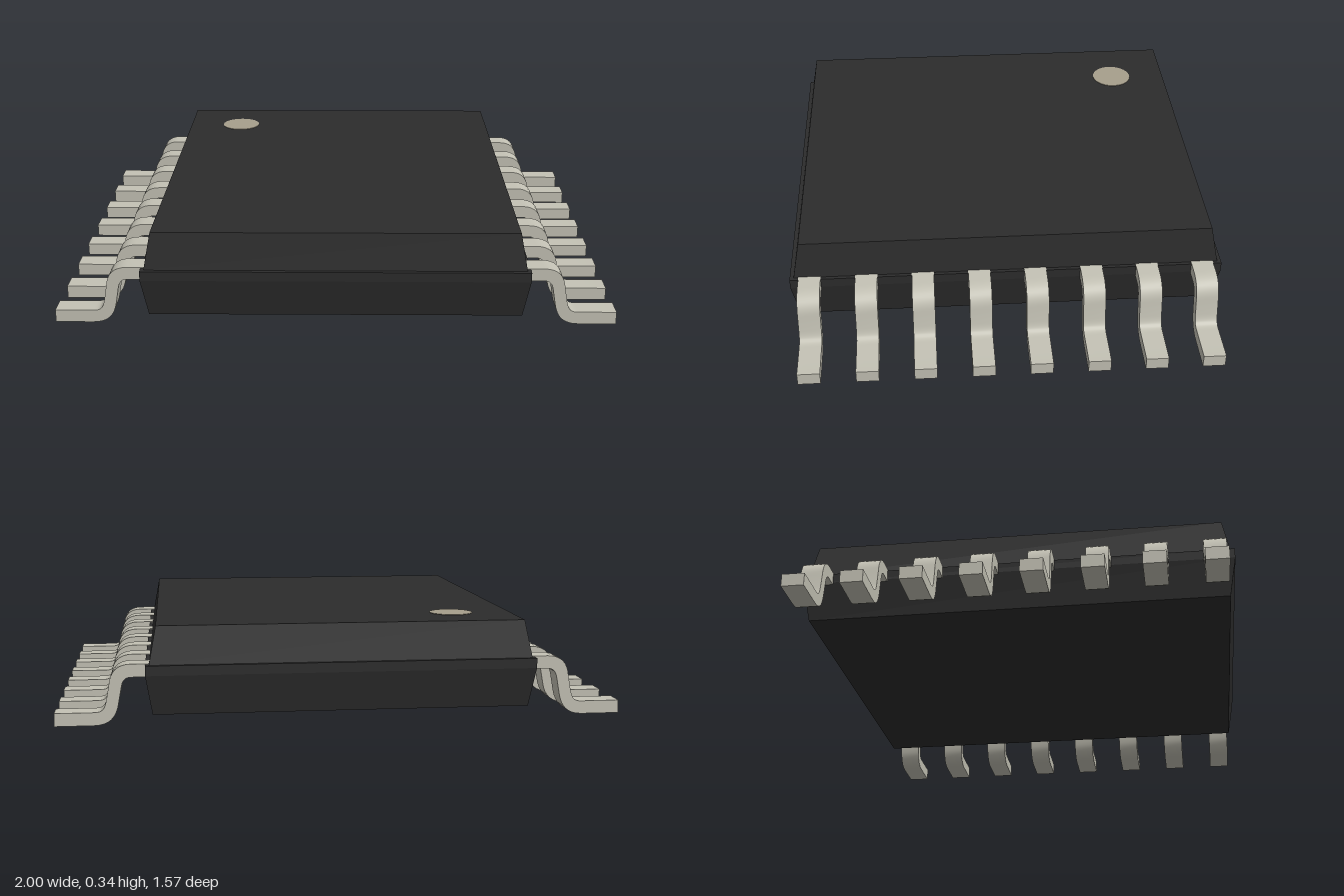
import * as THREE from 'three';
import { toCreasedNormals } from 'three/addons/utils/BufferGeometryUtils.js';

const bodyMat = new THREE.MeshStandardMaterial({ color: 0x2c2c2c });
const leadMat = new THREE.MeshStandardMaterial({ color: 0xc4c2b5 });
const dotMat = new THREE.MeshStandardMaterial({ color: 0xa79f8c });

// Box whose top and bottom have different half sizes [x, z]
function taperedBox(name, y0, y1, bottom, top) {
  const geo = new THREE.BoxGeometry(2, y1 - y0, 2).toNonIndexed();
  geo.translate(0, (y0 + y1) / 2, 0);
  const p = geo.attributes.position;
  const mid = (y0 + y1) / 2;
  for (let i = 0; i < p.count; i++) {
    const [hx, hz] = p.getY(i) > mid ? top : bottom;
    p.setX(i, p.getX(i) * hx);
    p.setZ(i, p.getZ(i) * hz);
  }
  geo.computeVertexNormals();
  const mesh = new THREE.Mesh(geo, bodyMat);
  mesh.name = name;
  return mesh;
}

// Gull-wing strip profile, extruded to the lead's width
function leadGeometry(width) {
  const s = new THREE.Shape();
  s.moveTo(0.66, 0.213);
  s.lineTo(0.735, 0.213);
  s.bezierCurveTo(0.785, 0.213, 0.808, 0.185, 0.812, 0.14);
  s.lineTo(0.822, 0.085);
  s.bezierCurveTo(0.828, 0.058, 0.835, 0.046, 0.862, 0.046);
  s.lineTo(1, 0.046);
  s.lineTo(1, 0);
  s.lineTo(0.865, 0);
  s.bezierCurveTo(0.815, 0, 0.788, 0.025, 0.78, 0.075);
  s.lineTo(0.77, 0.13);
  s.bezierCurveTo(0.766, 0.155, 0.757, 0.167, 0.735, 0.167);
  s.lineTo(0.66, 0.167);
  s.closePath();
  const geo = new THREE.ExtrudeGeometry(s, { depth: width, bevelEnabled: false, curveSegments: 8 });
  geo.translate(0, 0, -width / 2);
  return toCreasedNormals(geo, 0.6);
}

export function createModel() {
  const model = new THREE.Group();
  model.name = 'chipPackage';

  // Moulded package: tapered base, parting band, inset tapered lid
  const body = new THREE.Group();
  body.name = 'body';
  body.add(
    taperedBox('lowerBody', 0.035, 0.175, [0.664, 0.76], [0.687, 0.785]),
    taperedBox('partingBand', 0.175, 0.21, [0.687, 0.785], [0.687, 0.785]),
    taperedBox('upperBody', 0.21, 0.343, [0.674, 0.771], [0.649, 0.746])
  );
  model.add(body);

  // Pin-one marker
  const dot = new THREE.Mesh(new THREE.CylinderGeometry(0.078, 0.078, 0.004, 40), dotMat);
  dot.name = 'pinOneMarker';
  dot.position.set(-0.43, 0.343, -0.527);
  model.add(dot);

  // Two rows of eight leads
  const geo = leadGeometry(0.08);
  for (const side of ['left', 'right']) {
    const row = new THREE.Group();
    row.name = side + 'Leads';
    for (let i = 0; i < 8; i++) {
      const lead = new THREE.Mesh(geo, leadMat);
      lead.name = side + 'Lead' + (i + 1);
      lead.position.z = (i - 3.5) * 0.204;
      row.add(lead);
    }
    if (side === 'right') row.rotation.y = Math.PI;
    model.add(row);
  }
  return model;
}
